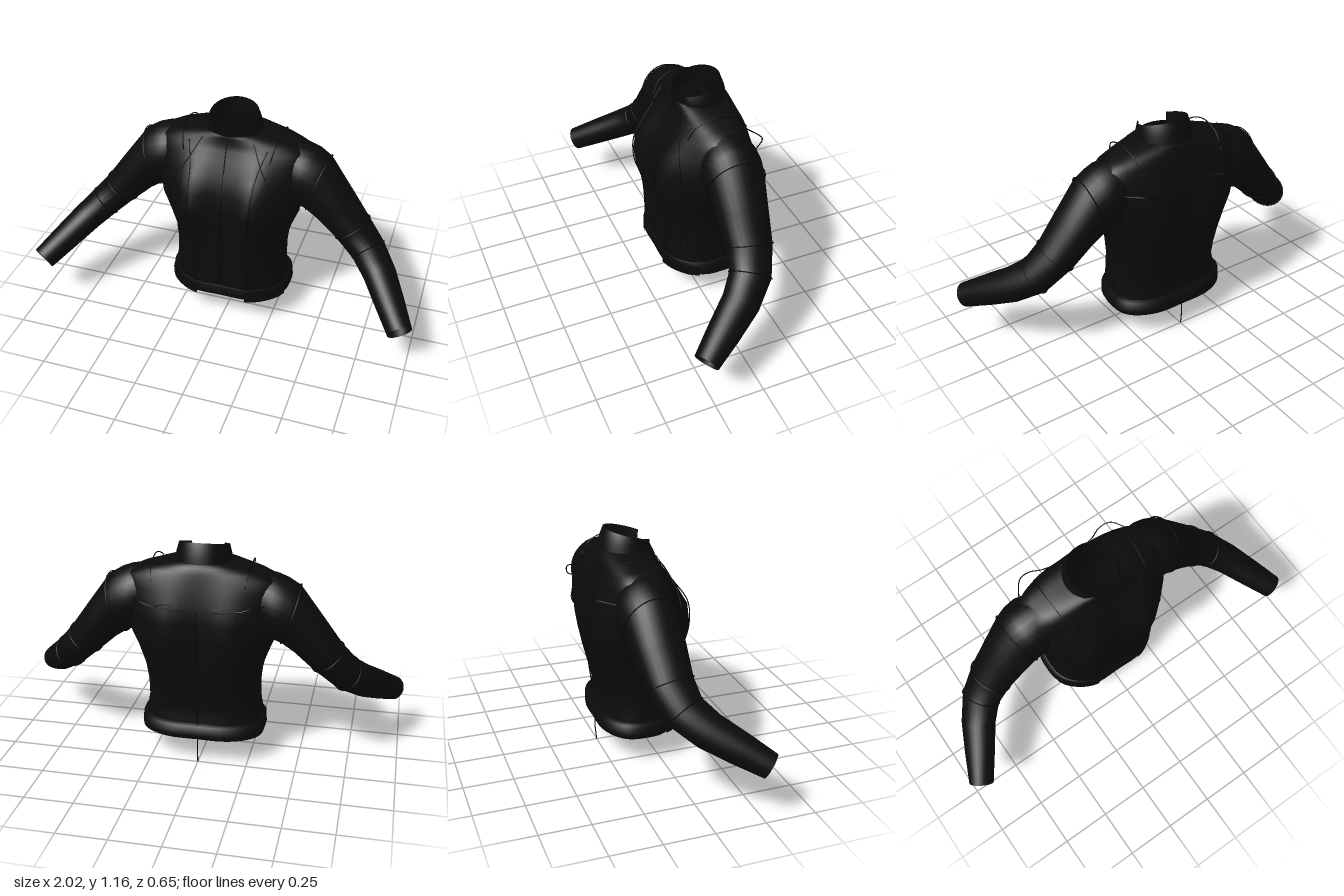
import * as THREE from 'three';

const leather = new THREE.MeshStandardMaterial({ color: 0x0b0b0b, side: THREE.DoubleSide });
leather.name = 'black leather';
const thread = new THREE.MeshStandardMaterial({ color: 0x060606, side: THREE.DoubleSide });
thread.name = 'dark piping';

const V = (x, y, z) => new THREE.Vector3(x, y, z);
const TAU = Math.PI * 2;

// skin a list of equal-length rings of points
function loft(name, rings, closed = true) {
  const n = rings[0].length, pos = [], idx = [];
  rings.forEach(r => r.forEach(p => pos.push(p.x, p.y, p.z)));
  for (let i = 0; i < rings.length - 1; i++) {
    for (let j = 0; j < (closed ? n : n - 1); j++) {
      const a = i * n + j, b = i * n + (j + 1) % n;
      idx.push(a, a + n, b, b, a + n, b + n);
    }
  }
  const g = new THREE.BufferGeometry();
  g.setAttribute('position', new THREE.Float32BufferAttribute(pos, 3));
  g.setIndex(idx);
  g.computeVertexNormals();
  const m = new THREE.Mesh(g, leather);
  m.name = name;
  return m;
}

// thin piping along a smooth path
function piping(name, pts, closed = false, r = 0.003) {
  const curve = new THREE.CatmullRomCurve3(pts, closed);
  const m = new THREE.Mesh(new THREE.TubeGeometry(curve, 48, r, 5, closed), thread);
  m.name = name;
  return m;
}

// torso rows: height, half width, front z, back z, depth of the centre hollow
const TORSO = [
  [0.16, 0.3, 0.155, -0.26, 0.01],
  [0.24, 0.298, 0.162, -0.25, 0.01],
  [0.3, 0.288, 0.16, -0.242, 0.01],
  [0.4, 0.286, 0.163, -0.266, 0.012],
  [0.5, 0.297, 0.168, -0.29, 0.015],
  [0.6, 0.33, 0.18, -0.304, 0.026],
  [0.68, 0.365, 0.181, -0.311, 0.03],
  [0.78, 0.378, 0.168, -0.315, 0.028],
  [0.86, 0.382, 0.13, -0.295, 0.018],
  [0.93, 0.385, 0.09, -0.272, 0.01],
  [0.98, 0.372, 0.06, -0.254, 0.004],
  [1.01, 0.31, 0.046, -0.242, 0],
  [1.04, 0.2, 0.044, -0.232, 0],
  [1.055, 0.13, 0.04, -0.215, 0],
];

// surface depth of a torso row at x: hollow centre, full chest and shoulder blades
function depthAt([, hw, zf, zb, dip], x, side) {
  const s = Math.sqrt(Math.max(0, 1 - (x / hw) ** 2));
  const fullness = side > 0 ? 1.4 : 0.5;
  const relief = fullness * Math.exp(-(((Math.abs(x) - 0.17) / 0.08) ** 2)) - Math.exp(-((x / 0.09) ** 2));
  return (zf + zb) / 2 + side * ((zf - zb) / 2 * s ** (side > 0 ? 0.8 : 0.62) + dip * s * relief);
}

function torsoRing(row, n = 64) {
  return Array.from({ length: n }, (_, j) => {
    const a = j / n * TAU, x = row[1] * Math.cos(a);
    return V(x, row[0], depthAt(row, x, j < n / 2 ? 1 : -1));
  });
}

function torsoRow(y) {
  let i = 0;
  while (i < TORSO.length - 2 && TORSO[i + 1][0] < y) i++;
  const t = (y - TORSO[i][0]) / (TORSO[i + 1][0] - TORSO[i][0]);
  return TORSO[i].map((v, k) => THREE.MathUtils.lerp(v, TORSO[i + 1][k], t));
}

// point lying just off the torso surface; side 1 is the front, -1 the back
const onTorso = (x, y, side, off = 0.002) => V(x, y, depthAt(torsoRow(y), x, side) + side * off);

// sleeve sections: outer point, inner point, half depth
const SLEEVE = [
  [0.27, 1.012, -0.1, 0.28, 0.7, -0.1, 0.125],
  [0.36, 1.0, -0.102, 0.345, 0.67, -0.102, 0.15],
  [0.42, 0.978, -0.102, 0.37, 0.66, -0.102, 0.147],
  [0.48, 0.94, -0.098, 0.39, 0.65, -0.098, 0.14],
  [0.6, 0.775, -0.09, 0.45, 0.61, -0.09, 0.127],
  [0.7, 0.635, -0.08, 0.55, 0.52, -0.08, 0.114],
  [0.78, 0.54, -0.045, 0.66, 0.42, -0.045, 0.102],
  [0.855, 0.465, 0.04, 0.745, 0.352, 0.04, 0.092],
  [0.928, 0.388, 0.16, 0.828, 0.285, 0.16, 0.08],
  [0.998, 0.311, 0.28, 0.912, 0.219, 0.28, 0.063],
];

function sleeveRings(n = 28) {
  const mids = SLEEVE.map(s => V((s[0] + s[3]) / 2, (s[1] + s[4]) / 2, (s[2] + s[5]) / 2));
  return SLEEVE.map((s, i) => {
    const up = V(s[0], s[1], s[2]).sub(mids[i]);
    const along = mids[Math.min(i + 1, mids.length - 1)].clone().sub(mids[Math.max(i - 1, 0)]);
    const across = along.cross(up).setLength(s[6]);
    return Array.from({ length: n }, (_, j) => {
      const a = j / n * TAU;
      return mids[i].clone().addScaledVector(up, Math.cos(a)).addScaledVector(across, Math.sin(a));
    });
  });
}

// enlarge a ring slightly about its centre
function swell(ring, k) {
  const c = ring.reduce((s, p) => s.add(p), V(0, 0, 0)).divideScalar(ring.length);
  return ring.map(p => p.clone().sub(c).multiplyScalar(k).add(c));
}

// sleeve and seams of one half
function half(side) {
  const g = new THREE.Group();
  g.name = side > 0 ? 'leftHalf' : 'rightHalf';
  const rings = sleeveRings();
  g.add(loft('sleeve', rings));
  g.add(piping('shoulderSeam', swell(rings[3], 1.025), true));
  g.add(piping('upperElbowSeam', swell(rings[5], 1.025), true));
  g.add(piping('lowerElbowSeam', swell(rings[6], 1.02), true));
  g.add(piping('frontPanelSeam', [[0.2, 1.0], [0.17, 0.9], [0.16, 0.78], [0.155, 0.65], [0.15, 0.5], [0.145, 0.35], [0.14, 0.22]]
    .map(([x, y]) => onTorso(x, y, 1, y > 0.55 && y < 0.9 ? 0.006 : 0.001))));
  g.add(piping('chestSeam', [[0.13, 1.03], [0.19, 0.92], [0.26, 0.8], [0.28, 0.7], [0.25, 0.55], [0.23, 0.4], [0.23, 0.24]]
    .map(([x, y]) => onTorso(x, y, 1, 0.001))));
  g.add(piping('sideSeam', [0.64, 0.58, 0.5, 0.4, 0.3, 0.22].map(y => V(torsoRow(y)[1] + 0.003, y, -0.06))));
  // small raised strap over the shoulder
  g.add(piping('shoulderPiping', [onTorso(0.22, 0.95, 1), V(0.235, 1.02, 0.02), V(0.245, 1.055, -0.08),
    V(0.24, 1.025, -0.19), onTorso(0.23, 0.96, -1)]));
  // loose yoke piping standing off the shoulder blade
  g.add(piping('yokePiping', [onTorso(0.08, 0.855, -1), onTorso(0.15, 0.87, -1, 0.012), V(0.21, 0.87, -0.325),
    V(0.27, 0.885, -0.312), onTorso(0.34, 0.87, -1)]));
  g.scale.x = side;
  return g;
}

export function createModel() {
  const model = new THREE.Group();
  model.name = 'jacket';
  model.add(loft('torso', TORSO.map(r => torsoRing(r))));
  model.add(half(1), half(-1));

  // waistband, open underneath
  const band = [[0.165, 0.305, 0.14, -0.258, 0.008], [0.14, 0.316, 0.135, -0.276, 0.008], [0.16, 0.322, 0.168, -0.279, 0.008],
    [0.212, 0.316, 0.164, -0.279, 0.008], [0.218, 0.295, 0.155, -0.245, 0.01]];
  model.add(loft('waistband', band.map(r => torsoRing(r))));

  // front tabs along the hem
  for (const s of [1, -1]) {
    model.add(loft('hemTab', [0.145, 0.205].map(y => Array.from({ length: 10 }, (_, i) => {
      const x = 0.13 + i * 0.02;
      return V(s * x, y, depthAt(band[2], x, 1) + 0.003);
    })), false));
  }

  // stand-up collar, open at the front and higher behind
  const collarRing = (y0, rise, rx, zf, zb) => Array.from({ length: 41 }, (_, j) => {
    const a = 0.75 + j / 40 * (TAU - 1.5), c = Math.cos(a);
    return V(rx * Math.sin(a), y0 + rise * (1 - c) / 2, (zf + zb) / 2 + (zf - zb) / 2 * c);
  });
  model.add(loft('collar', [
    collarRing(1.03, 0.025, 0.142, 0.05, -0.224),
    collarRing(1.06, 0.04, 0.136, 0.048, -0.214),
    collarRing(1.092, 0.063, 0.124, 0.044, -0.193),
    collarRing(1.087, 0.06, 0.119, 0.04, -0.188),
    collarRing(1.03, 0.025, 0.121, 0.042, -0.192),
  ], false));

  // front zip, back yoke seam and the loose back cord
  model.add(piping('frontZip', [1.02, 0.9, 0.75, 0.6, 0.4, 0.24].map(y => onTorso(0, y, 1, 0.001))));
  model.add(piping('backYokeSeam', [-0.34, -0.25, -0.12, 0, 0.12, 0.25, 0.34]
    .map(x => onTorso(x, 0.84 + 0.25 * x * x, -1, 0.001))));
  model.add(piping('backCord', [V(0, 0.84, -0.286), V(0, 0.75, -0.291), V(0, 0.6, -0.296), V(0, 0.45, -0.285),
    V(0, 0.3, -0.266), V(0, 0.2, -0.253), V(0, 0.1, -0.258), V(0, 0, -0.25)]));
  return model;
}
